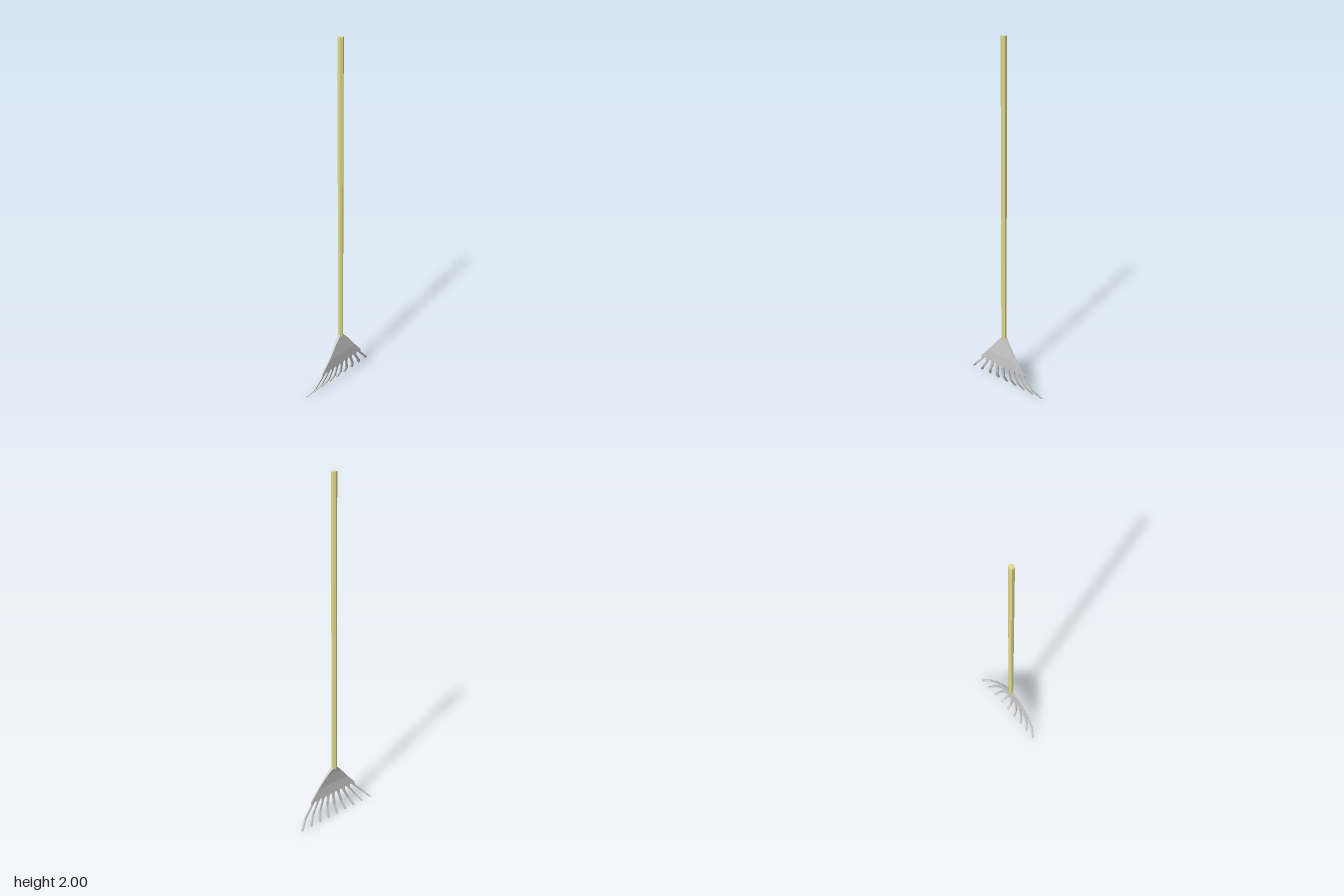
import * as THREE from 'three';

const wood = new THREE.MeshStandardMaterial({ color: 0xe0da8a, flatShading: true });
const metal = new THREE.MeshStandardMaterial({ color: 0xcccccc, flatShading: true });

// Lofts a closed bar through four-cornered sections listed from top to bottom.
// Each section is [centre x, y, centre z, width, thickness].
function loft(sections) {
  const positions = [];
  const index = [];
  for (const [x, y, z, w, t] of sections) {
    for (const [sx, sz] of [[-1, 1], [1, 1], [1, -1], [-1, -1]]) {
      positions.push(x + sx * w / 2, y, z + sz * t / 2);
    }
  }
  const last = (sections.length - 1) * 4;
  for (let i = 0; i < last; i += 4) {
    for (let j = 0; j < 4; j++) {
      const k = (j + 1) % 4;
      const a = i + j, b = i + k, c = a + 4, d = b + 4;
      index.push(a, c, b, b, c, d);
    }
  }
  index.push(0, 1, 2, 0, 2, 3);
  index.push(last, last + 2, last + 1, last, last + 3, last + 2);
  const geometry = new THREE.BufferGeometry();
  geometry.setAttribute('position', new THREE.Float32BufferAttribute(positions, 3));
  geometry.setIndex(index);
  const flat = geometry.toNonIndexed();
  flat.computeVertexNormals();
  return flat;
}

export function createModel() {
  const rake = new THREE.Group();
  rake.name = 'leafRake';

  const add = (name, geometry, material, parent = rake) => {
    const mesh = new THREE.Mesh(geometry, material);
    mesh.name = name;
    parent.add(mesh);
    return mesh;
  };

  // Six-sided wooden pole
  const pole = add('handle', new THREE.CylinderGeometry(0.015, 0.015, 1.69, 6), wood);
  pole.position.set(0, 1.155, 0.005);

  // Fan plate, bowed gently forward
  const rootY = 0.135;
  const rootWidth = 0.316;
  add('fanPlate', loft([
    [0, 0.32, 0.005, 0.028, 0.022],
    [0, 0.28, 0.011, 0.094, 0.013],
    [0, 0.2, 0.018, 0.212, 0.008],
    [0, rootY, 0.016, rootWidth, 0.008],
  ]), metal);

  // Nine tines: broad at the root to form rounded notches, hooked back at the tip
  const tines = new THREE.Group();
  tines.name = 'tines';
  rake.add(tines);
  const count = 9;
  const pitch = rootWidth / count;
  for (let i = 0; i < count; i++) {
    const u = i - (count - 1) / 2;
    add('tine', loft([
      [u * pitch, rootY, 0.016, pitch, 0.008],
      [u * 0.0365, 0.127, 0.0155, 0.022, 0.008],
      [u * 0.038, 0.115, 0.0145, 0.015, 0.008],
      [u * 0.0515, 0.052, 0.006, 0.013, 0.009],
      [u * 0.0626, 0, -0.022, 0.013, 0.01],
    ]), metal, tines);
  }

  return rake;
}
